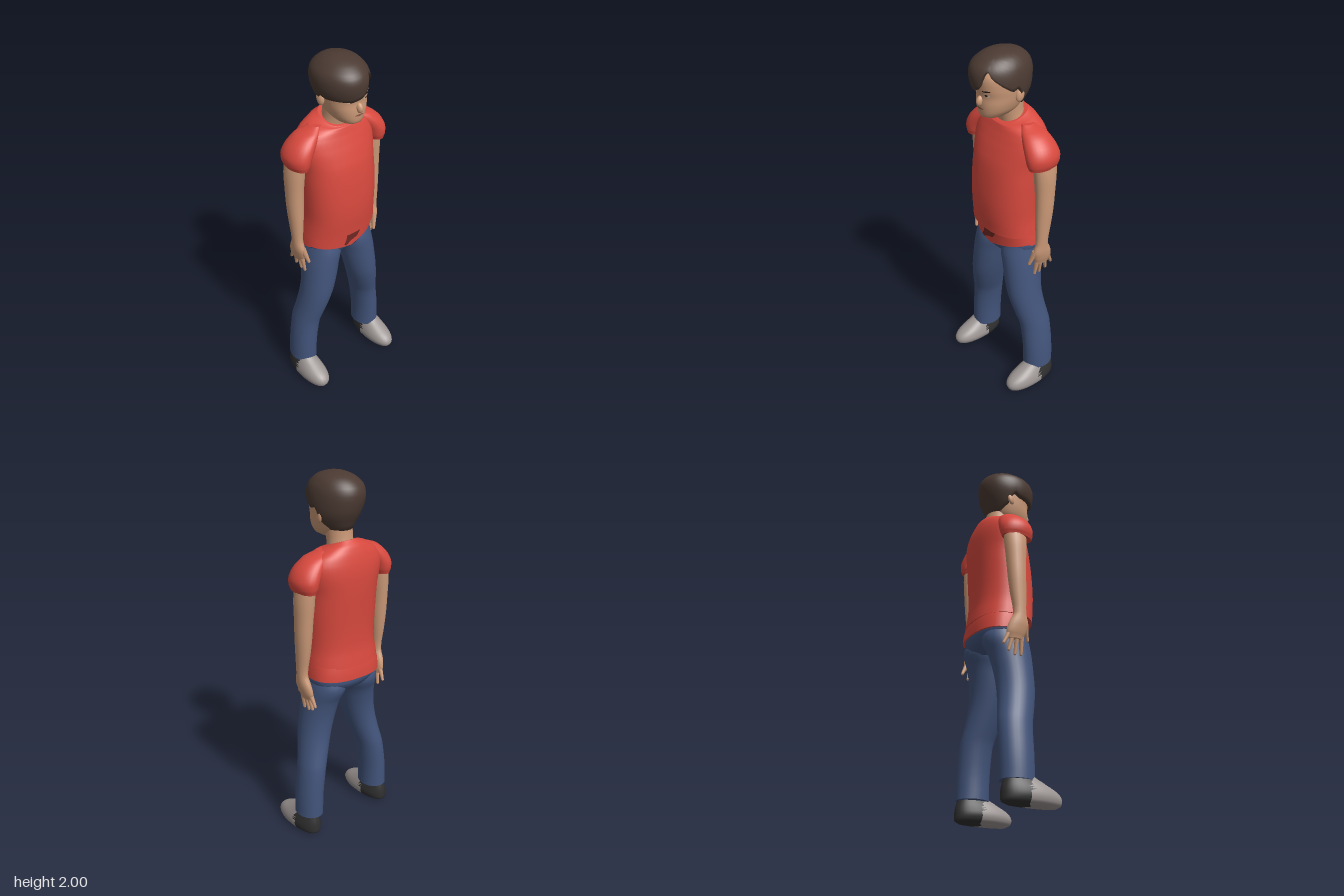
import * as THREE from 'three';

const mat = (name, color, side = THREE.FrontSide) => {
  const m = new THREE.MeshStandardMaterial({ color, side });
  m.name = name;
  return m;
};

// Cross-sections are rows of [y, xMin, xMax, zMin, zMax, tilt], bottom to top
const mirrorRows = (rows) => rows.map(([y, a, b, ...rest]) => [y, -b, -a, ...rest]);
const spow = (v, e) => Math.sign(v) * Math.abs(v) ** e;

// Smoothly inserts extra rows between the given ones
function refine(rows, n = 3) {
  const out = [];
  for (let i = 0; i < rows.length - 1; i++) {
    const [p, a, b, q] = [rows[Math.max(i - 1, 0)], rows[i], rows[i + 1], rows[Math.min(i + 2, rows.length - 1)]];
    for (let k = 0; k < n; k++) {
      const t = k / n;
      const s = [0, 1, 2, 3, 4, 5].map((c) => {
        const [P, A, B, Q] = [p[c] ?? 0, a[c] ?? 0, b[c] ?? 0, q[c] ?? 0];
        return A + 0.5 * t * (B - P + t * (2 * P - 5 * A + 4 * B - Q + t * (3 * (A - B) + Q - P)));
      });
      s[0] = a[0] + (b[0] - a[0]) * t;
      out.push(s);
    }
  }
  out.push(rows[rows.length - 1]);
  return out;
}

// Closed loft of superellipse sections; split(z) may choose a second material
function loft(rows, { power = 2, segs = 28, warp, split } = {}) {
  const pos = [], faces = [[], []];
  const ring = (row, i) => {
    const [y, x0, x1, z0, z1, tilt = 0] = row;
    for (let j = 0; j < segs; j++) {
      const t = (j / segs) * Math.PI * 2;
      const dz = ((z1 - z0) / 2) * spow(Math.sin(t), 2 / power);
      const p = new THREE.Vector3((x0 + x1) / 2 + ((x1 - x0) / 2) * spow(Math.cos(t), 2 / power), y + tilt * dz, (z0 + z1) / 2 + dz);
      if (warp) warp(p, i);
      pos.push(p.x, p.y, p.z);
    }
  };
  const tri = (a, b, c) => {
    const z = (pos[a * 3 + 2] + pos[b * 3 + 2] + pos[c * 3 + 2]) / 3;
    faces[split && split(z) ? 1 : 0].push(a, b, c);
  };
  rows.forEach(ring);
  for (let i = 0; i < rows.length - 1; i++) {
    for (let j = 0; j < segs; j++) {
      const a = i * segs + j, b = i * segs + ((j + 1) % segs), c = a + segs, d = b + segs;
      tri(a, c, b);
      tri(b, c, d);
    }
  }
  for (const i of [0, rows.length - 1]) {
    const base = pos.length / 3, r = rows[i];
    ring(r, i);
    pos.push((r[1] + r[2]) / 2, r[0], (r[3] + r[4]) / 2);
    for (let j = 0; j < segs; j++) {
      const k = base + ((j + 1) % segs);
      i === 0 ? tri(base + segs, base + j, k) : tri(base + segs, k, base + j);
    }
  }
  const g = new THREE.BufferGeometry();
  g.setAttribute('position', new THREE.Float32BufferAttribute(pos, 3));
  g.setIndex([...faces[0], ...faces[1]]);
  if (split) {
    g.addGroup(0, faces[0].length, 0);
    g.addGroup(faces[0].length, faces[1].length, 1);
  }
  g.computeVertexNormals();
  return g;
}

// Linear lookup in a table keyed by its first column, ascending
function lookup(table, key) {
  let i = 0;
  while (i < table.length - 2 && key > table[i + 1][0]) i++;
  const a = table[i], b = table[i + 1];
  const t = THREE.MathUtils.clamp((key - a[0]) / (b[0] - a[0]), 0, 1);
  return a.map((v, c) => v + (b[c] - v) * t);
}

const HEAD = refine([
  [1.664, -0.03, 0.025, 0.05, 0.12], [1.68, -0.062, 0.055, -0.02, 0.15], [1.71, -0.086, 0.08, -0.06, 0.158],
  [1.75, -0.1, 0.095, -0.08, 0.16], [1.79, -0.108, 0.103, -0.1, 0.157], [1.83, -0.112, 0.108, -0.11, 0.163],
  [1.9, -0.115, 0.105, -0.11, 0.16], [1.96, -0.07, 0.06, -0.07, 0.1],
]);
const HEAD_POWER = 2.25;

const HAIR = refine([
  [1.72, -0.085, 0.085, -0.088, 0.15], [1.76, -0.11, 0.108, -0.105, 0.165], [1.8, -0.128, 0.122, -0.125, 0.176],
  [1.85, -0.147, 0.125, -0.138, 0.188], [1.9, -0.15, 0.12, -0.142, 0.19], [1.94, -0.138, 0.107, -0.128, 0.174],
  [1.975, -0.1, 0.078, -0.09, 0.13], [1.992, -0.062, 0.042, -0.045, 0.082], [2.0, -0.012, -0.01, 0.02, 0.022],
]);
// Lower hairline: degrees from the front (positive to the left), height
const HAIRLINE = [
  [-180, 1.72], [-125, 1.725], [-104, 1.77], [-92, 1.83], [-78, 1.815], [-50, 1.815], [-20, 1.812], [0, 1.825],
  [14, 1.85], [24, 1.9], [33, 1.935], [42, 1.9], [60, 1.86], [78, 1.825], [92, 1.84], [104, 1.77], [125, 1.725], [180, 1.72],
];

function hairGeometry(segs = 72, steps = 16) {
  const pos = [], idx = [];
  for (let i = 0; i <= steps + 1; i++) {
    const t = Math.max(i - 1, 0) / steps;
    for (let j = 0; j < segs; j++) {
      const deg = (j / segs) * 360 - 180, f = (deg * Math.PI) / 180;
      const edge = lookup(HAIRLINE, deg)[1];
      const y = edge + (2 - edge) * Math.sin((t * Math.PI) / 2);
      const [, x0, x1, z0, z1] = lookup(HAIR, y);
      const s = i === 0 ? 0.86 : 1; // first ring is the inner lip
      pos.push((x0 + x1) / 2 + ((x1 - x0) / 2) * Math.sin(f) * s, y, (z0 + z1) / 2 + ((z1 - z0) / 2) * Math.cos(f) * s);
    }
  }
  for (let i = 0; i <= steps; i++) {
    for (let j = 0; j < segs; j++) {
      const a = i * segs + j, b = i * segs + ((j + 1) % segs);
      idx.push(a, b, a + segs, b, b + segs, a + segs);
    }
  }
  const g = new THREE.BufferGeometry();
  g.setAttribute('position', new THREE.Float32BufferAttribute(pos, 3));
  g.setIndex(idx);
  g.computeVertexNormals();
  return g;
}

// Thin oval laid on the face
function faceOval(x, y, w, h, lift, slant = 0) {
  const g = new THREE.CircleGeometry(1, 16), p = g.attributes.position;
  for (let i = 0; i < p.count; i++) {
    const px = x + p.getX(i) * w, py = y + p.getY(i) * h + p.getX(i) * slant;
    const [, x0, x1, z0, z1] = lookup(HEAD, py);
    const u = Math.min(1, Math.abs((px - (x0 + x1) / 2) / ((x1 - x0) / 2)));
    p.setXYZ(i, px, py, (z0 + z1) / 2 + ((z1 - z0) / 2) * (1 - u ** HEAD_POWER) ** (1 / HEAD_POWER) + lift);
  }
  g.computeVertexNormals();
  return g;
}

export function createModel() {
  const model = new THREE.Group();
  const red = mat('shirtRed', 0xd8493e), denim = mat('denimBlue', 0x43557c), skin = mat('skin', 0xcc9a78);
  const brown = mat('hairBrown', 0x4b3a32, THREE.DoubleSide), grey = mat('shoeGrey', 0x9c9593), black = mat('shoeBlack', 0x303031);
  const maroon = mat('darkRed', 0x6e2824), dark = mat('eyeDark', 0x2a1d18), white = mat('eyeWhite', 0xcfc4ba), lip = mat('lip', 0x8f5a48);
  const add = (name, geometry, material, parent = model) => {
    const m = new THREE.Mesh(geometry, material);
    m.name = name;
    parent.add(m);
    return m;
  };

  // Shirt, its tucked lower part and the dark patch below the hem
  add('shirt', loft(refine([
    [1.01, -0.215, 0.21, -0.18, 0.143], [1.1, -0.206, 0.201, -0.167, 0.152], [1.2, -0.207, 0.203, -0.165, 0.154],
    [1.32, -0.21, 0.207, -0.17, 0.145], [1.42, -0.212, 0.208, -0.175, 0.13], [1.5, -0.225, 0.22, -0.175, 0.104],
    [1.56, -0.222, 0.218, -0.168, 0.08], [1.605, -0.19, 0.19, -0.155, 0.065, -0.06], [1.635, -0.13, 0.13, -0.138, 0.058, -0.18],
    [1.65, -0.08, 0.08, -0.112, 0.048, -0.36],
  ]), { power: 2.3, segs: 40 }), red);
  add('shirtTail', loft([
    [0.945, -0.214, 0.214, -0.183, 0.108], [0.98, -0.212, 0.212, -0.181, 0.112], [1.02, -0.205, 0.205, -0.172, 0.118],
  ], { power: 2.5, segs: 40, warp: (p, i) => {
    if (i === 0) p.y += p.x * 0.05 - (p.z > 0 ? 0.045 * Math.max(0, 1 - Math.abs(p.x) / 0.2) : 0.01);
  } }), red);
  const patch = new THREE.Shape([[-0.06, 0.935], [-0.045, 0.925], [-0.01, 0.945], [0.03, 0.955], [0.05, 0.985], [0.05, 1.015], [-0.035, 1.015], [-0.045, 0.96]]
    .map(([x, y]) => new THREE.Vector2(x, y)));
  add('shirtPatch', new THREE.ShapeGeometry(patch), maroon).position.z = 0.12;

  // Jeans
  add('jeansSeat', loft(refine([
    [0.85, -0.1, 0.1, -0.1, 0.05], [0.875, -0.165, 0.165, -0.15, 0.085], [0.92, -0.207, 0.207, -0.174, 0.1],
    [0.99, -0.2, 0.2, -0.165, 0.1],
  ]), { power: 2.4 }), denim);
  const leg = refine([
    [0.115, 0.166, 0.313, -0.13, 0.048], [0.25, 0.162, 0.306, -0.13, 0.05], [0.4, 0.14, 0.287, -0.127, 0.056],
    [0.5, 0.107, 0.267, -0.112, 0.08], [0.6, 0.075, 0.25, -0.102, 0.099], [0.7, 0.048, 0.236, -0.107, 0.104],
    [0.8, 0.025, 0.224, -0.128, 0.104], [0.88, 0.002, 0.213, -0.16, 0.1], [0.95, 0.02, 0.2, -0.14, 0.08],
  ]);

  const shoe = refine([
    [0.0, 0.215, 0.295, -0.11, 0.16], [0.012, 0.19, 0.315, -0.13, 0.182], [0.04, 0.18, 0.322, -0.132, 0.19],
    [0.07, 0.184, 0.318, -0.13, 0.17], [0.1, 0.193, 0.308, -0.122, 0.115], [0.14, 0.205, 0.295, -0.11, 0.04],
  ]);
  const sleeve = refine([
    [1.445, 0.198, 0.295, -0.122, 0.052], [1.47, 0.185, 0.305, -0.13, 0.06], [1.51, 0.17, 0.306, -0.132, 0.062],
    [1.56, 0.14, 0.28, -0.12, 0.052], [1.605, 0.11, 0.228, -0.1, 0.03], [1.635, 0.1, 0.15, -0.07, 0.0],
  ]);
  const arm = refine([
    [0.845, 0.23, 0.262, -0.09, -0.005], [0.88, 0.226, 0.274, -0.1, 0.01], [0.93, 0.228, 0.284, -0.088, 0.022],
    [0.985, 0.233, 0.287, -0.064, 0.008], [1.1, 0.222, 0.294, -0.08, 0.01], [1.2, 0.214, 0.3, -0.092, 0.01],
    [1.3, 0.209, 0.301, -0.1, 0.012], [1.4, 0.201, 0.301, -0.108, 0.018], [1.5, 0.2, 0.29, -0.11, 0.02],
  ]);
  // Base z, tip x, tip y, tip z of each finger
  const fingers = [[-0.012, 0.232, 0.772, -0.008], [-0.036, 0.23, 0.77, -0.042], [-0.06, 0.235, 0.785, -0.08], [-0.083, 0.242, 0.815, -0.112]];

  for (const [label, s] of [['left', 1], ['right', -1]]) {
    const side = (rows) => (s > 0 ? rows : mirrorRows(rows));
    add(label + 'JeansLeg', loft(side(leg)), denim);
    add(label + 'Shoe', loft(side(shoe), { power: 2.2, segs: 32, split: (z) => z < 0 }), [grey, black]);
    add(label + 'Sleeve', loft(side(sleeve)), red);
    add(label + 'Arm', loft(side(arm), { segs: 20 }), skin);

    const digit = (name, a, b, r0, r1) => {
      const from = new THREE.Vector3(s * a[0], a[1], a[2]), to = new THREE.Vector3(s * b[0], b[1], b[2]);
      const dir = to.clone().sub(from);
      const m = add(name, new THREE.CylinderGeometry(r1, r0, dir.length(), 8), skin);
      m.position.copy(from).addScaledVector(dir, 0.5);
      m.quaternion.setFromUnitVectors(new THREE.Vector3(0, 1, 0), dir.clone().normalize());
      add(name + 'Tip', new THREE.SphereGeometry(r1, 8, 6), skin).position.copy(to);
    };
    fingers.forEach(([z, x, y, tz], i) => digit(`${label}Finger${i + 1}`, [0.248, 0.875, z], [x, y, tz], 0.014, 0.008));
    digit(label + 'Thumb', [0.252, 0.935, 0.008], [0.232, 0.855, 0.03], 0.017, 0.009);

    // Ear, eye and eyebrow
    const ear = add(label + 'Ear', new THREE.SphereGeometry(1, 14, 10), skin);
    ear.scale.set(0.013, 0.035, 0.022);
    ear.position.set(s * 0.112 - 0.004, 1.79, 0.004);
    ear.rotation.set(-0.2, s * -0.3, 0);
    const ex = s * 0.044 - 0.004;
    add(label + 'EyeWhite', faceOval(ex, 1.805, 0.017, 0.006, 0.002), white);
    add(label + 'Iris', faceOval(ex, 1.806, 0.008, 0.006, 0.004), dark);
    add(label + 'Eyebrow', faceOval(ex, 1.826, 0.023, 0.004, 0.003, s * 0.003), dark);
  }

  // Head, neck, nose, mouth and hair
  add('neck', loft(refine([[1.58, -0.08, 0.08, -0.115, 0.03], [1.66, -0.068, 0.068, -0.093, 0.045], [1.75, -0.07, 0.07, -0.088, 0.07]])), skin);
  add('head', loft(HEAD, { power: HEAD_POWER, segs: 36 }), skin);
  const nose = add('nose', new THREE.SphereGeometry(1, 14, 10), skin);
  nose.scale.set(0.016, 0.027, 0.02);
  nose.position.set(-0.004, 1.766, 0.16);
  nose.rotation.x = -0.3;
  add('mouth', faceOval(-0.004, 1.728, 0.026, 0.005, 0.003), lip);
  add('hair', hairGeometry(), brown);
  return model;
}
